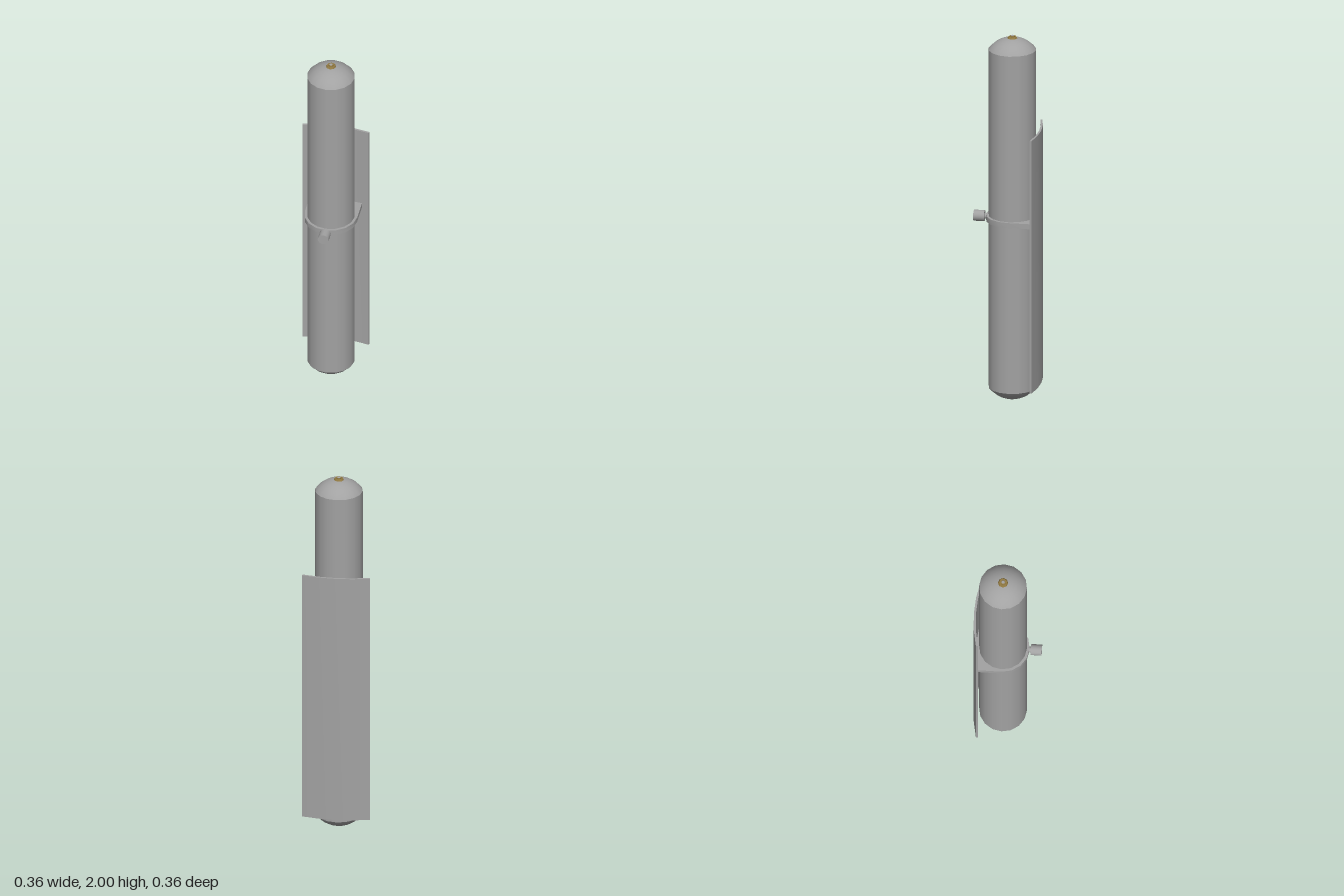
import * as THREE from 'three';
import { toCreasedNormals } from 'three/addons/utils/BufferGeometryUtils.js';

const steel = new THREE.MeshStandardMaterial({ name: 'grey steel', color: 0xa2a2a2 });
const brass = new THREE.MeshStandardMaterial({ name: 'brass', color: 0x927a42 });

const TANK_Z = -0.025, TANK_R = 0.125, SIDES = 16;

export function createModel() {
  const model = new THREE.Group();
  model.name = 'mountedCylinder';

  function add(name, geometry, material, x, y, z) {
    const mesh = new THREE.Mesh(geometry, material);
    mesh.name = name;
    mesh.position.set(x, y, z);
    model.add(mesh);
    return mesh;
  }

  // Extrudes a plan outline (x, z) upwards from y0 to y1
  function slab(name, points, y0, y1) {
    const shape = new THREE.Shape(points.map(([x, z]) => new THREE.Vector2(x, -z)));
    const geo = new THREE.ExtrudeGeometry(shape, { depth: y1 - y0, bevelEnabled: false });
    geo.rotateX(-Math.PI / 2);
    return add(name, toCreasedNormals(geo, Math.PI / 5), steel, 0, y0, 0);
  }

  // Tank body
  const y0 = 0.063, y1 = 1.923;
  add('tankBody', new THREE.CylinderGeometry(TANK_R, TANK_R, y1 - y0, SIDES, 1, true),
    steel, 0, (y0 + y1) / 2, TANK_Z);

  // Shallow spherical end caps
  const rise = 0.063;
  const capR = (TANK_R ** 2 + rise ** 2) / (2 * rise);
  const capGeo = new THREE.SphereGeometry(capR, SIDES, 6, 0, Math.PI * 2, 0, Math.asin(TANK_R / capR));
  capGeo.translate(0, rise - capR, 0);
  add('topDome', capGeo, steel, 0, y1, TANK_Z);
  add('bottomDome', capGeo, steel, 0, y0, TANK_Z).rotation.x = Math.PI;

  // Valve: brass collar and a small steel pin
  const collar = new THREE.CylinderGeometry(0.022, 0.029, 0.012, 8);
  add('valveCollar', toCreasedNormals(collar, 0.5), brass, 0, 1.986, TANK_Z);
  const stem = new THREE.CylinderGeometry(0.014, 0.014, 0.006, 8);
  add('valveStem', toCreasedNormals(stem, 0.5), brass, 0, 1.994, TANK_Z);
  const pin = new THREE.CylinderGeometry(0.006, 0.011, 0.004, 8);
  add('valvePin', toCreasedNormals(pin, 0.5), steel, 0, 1.998, TANK_Z);

  // Curved back plate, bowed away from the tank
  const plateZ = 0.512, half = Math.PI / 12;
  const plate = [];
  for (let i = 0; i <= 4; i++) {
    const a = -half + (i * half) / 2;
    plate.push([0.69 * Math.sin(a), plateZ - 0.69 * Math.cos(a)]);
  }
  for (let i = 4; i >= 0; i--) {
    const a = -half + (i * half) / 2;
    plate.push([0.679 * Math.sin(a), plateZ - 0.679 * Math.cos(a)]);
  }
  slab('backPlate', plate, 0.09, 1.482);

  // U-shaped strap joining the tank to the plate
  const strap = [[-0.139, -0.152]];
  for (let i = 0; i <= 8; i++) {
    const a = Math.PI - (i * Math.PI) / 8;
    strap.push([0.139 * Math.cos(a), TANK_Z + 0.139 * Math.sin(a)]);
  }
  strap.push([0.139, -0.152], [0, -0.168]);
  slab('strap', strap, 0.982, 1.01);

  // Clamp screw at the front of the strap
  const rod = (name, r, z0, z1) => {
    const geo = new THREE.CylinderGeometry(r, r, z1 - z0, SIDES);
    geo.rotateX(Math.PI / 2);
    add(name, geo, steel, 0, 0.996, (z0 + z1) / 2);
  };
  rod('screwNeck', 0.015, 0.105, 0.125);
  rod('screwKnob', 0.029, 0.121, 0.178);

  return model;
}
